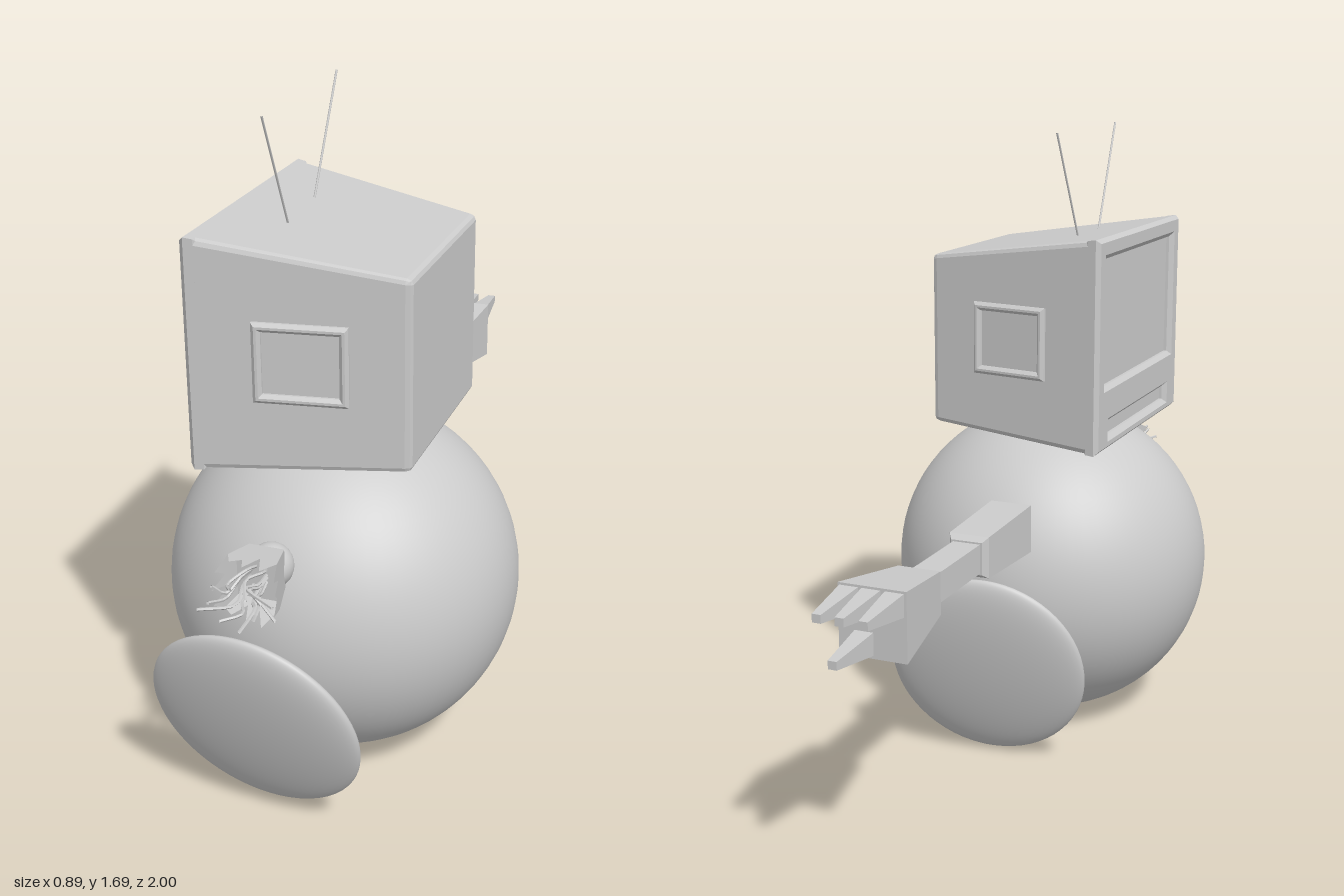
import * as THREE from 'three';
import { RoundedBoxGeometry } from 'three/addons/geometries/RoundedBoxGeometry.js';

const grey = new THREE.MeshStandardMaterial({ color: 0xcccccc });
const thin = new THREE.MeshStandardMaterial({ color: 0xcccccc, flatShading: true, side: THREE.DoubleSide });
const lerp = THREE.MathUtils.lerp;
const V = (x, y, z) => new THREE.Vector3(x, y, z);

function add(parent, name, geometry, x = 0, y = 0, z = 0, material = grey) {
  const mesh = new THREE.Mesh(geometry, material);
  mesh.name = name;
  mesh.position.set(x, y, z);
  parent.add(mesh);
  return mesh;
}

// Moves every vertex by a rule, then rebuilds the normals
function warp(geometry, rule) {
  const p = geometry.attributes.position, v = new THREE.Vector3();
  for (let i = 0; i < p.count; i++) {
    rule(v.fromBufferAttribute(p, i));
    p.setXYZ(i, v.x, v.y, v.z);
  }
  geometry.computeVertexNormals();
  return geometry;
}

// Box along z whose cross-section goes from w0 x h0 at z0 to w1 x h1 at z1
function taperBox(z0, w0, h0, z1, w1, h1) {
  return warp(new THREE.BoxGeometry(1, 1, Math.abs(z1 - z0)), (v) => {
    let t = v.z > 0 ? 1 : 0;
    if (z1 < z0) t = 1 - t;
    v.set(v.x * lerp(w0, w1, t), v.y * lerp(h0, h1, t), lerp(z0, z1, t));
  });
}

function rect(Type, x0, y0, x1, y1) {
  const s = new Type();
  s.moveTo(x0, y0).lineTo(x1, y0).lineTo(x1, y1).lineTo(x0, y1).closePath();
  return s;
}

function bevelled(shape, depth, bevel) {
  return new THREE.ExtrudeGeometry(shape, {
    depth, bevelEnabled: true, bevelSegments: 1,
    bevelThickness: bevel, bevelSize: bevel, bevelOffset: -bevel,
  });
}

function createHead() {
  const head = new THREE.Group();
  head.name = 'head';
  const H = 0.573, D = 0.691;
  // The casing narrows from the screen side (-x) to the rear (+x)
  const narrow = (v) => {
    const t = (v.x + 0.26) / 0.52;
    v.y = lerp(1.1385, 1.1185, t) + v.y * lerp(1, 0.467 / H, t);
    v.z = lerp(0.3575, 0.3625, t) + v.z * lerp(1, 0.515 / D, t);
  };
  const casing = new RoundedBoxGeometry(0.5, H, D, 1, 0.015).translate(0.01, 0, 0);
  add(head, 'casing', warp(casing, narrow));

  // Face plate with openings for the screen and the slot
  const plate = rect(THREE.Shape, -D / 2, -H / 2, D / 2, H / 2);
  plate.holes.push(rect(THREE.Path, -0.285, -0.11, 0.285, 0.23));
  plate.holes.push(rect(THREE.Path, -0.25, -0.25, 0.25, -0.21));
  const face = bevelled(plate, 0.023, 0.012).rotateY(-Math.PI / 2).translate(-0.225, 0, 0);
  add(head, 'facePlate', warp(face, narrow));

  // Raised frames on both sides
  for (const [z, turn] of [[0.66, 0.16], [0.06, Math.PI - 0.177]]) {
    const s = rect(THREE.Shape, -0.112, -0.098, 0.112, 0.098);
    s.holes.push(rect(THREE.Path, -0.09, -0.076, 0.09, 0.076));
    const frame = add(head, 'sideFrame', bevelled(s, 0.012, 0.008), 0.01, 1.137, z);
    frame.geometry.translate(0, 0, -0.006);
    frame.rotation.y = turn;
  }

  // Antennae
  const rods = [[V(-0.095, 1.38, 0.45), V(-0.083, 1.69, 0.62)], [V(-0.108, 1.38, 0.27), V(-0.1, 1.685, 0.115)]];
  for (const [a, b] of rods) {
    add(head, 'antenna', new THREE.TubeGeometry(new THREE.LineCurve3(a, b), 1, 0.003, 6));
  }
  return head;
}

function createArm() {
  const arm = new THREE.Group();
  arm.name = 'arm';
  arm.position.set(-0.048, 0.66, 0);
  add(arm, 'shoulder', new THREE.SphereGeometry(0.055, 24, 16), 0, 0, -0.08);
  add(arm, 'upperArm', taperBox(-0.065, 0.115, 0.13, -0.335, 0.108, 0.108));
  add(arm, 'elbow', taperBox(-0.335, 0.108, 0.108, -0.352, 0.085, 0.085));
  add(arm, 'forearm', taperBox(-0.34, 0.074, 0.076, -0.61, 0.074, 0.076));
  add(arm, 'wrist', taperBox(-0.595, 0.076, 0.078, -0.618, 0.11, 0.108));
  add(arm, 'hand', taperBox(-0.618, 0.11, 0.108, -0.855, 0.172, 0.17));
  // Three fingers above and a thumb below
  for (const [x, y] of [[-0.056, 0.052], [0.002, 0.052], [0.058, 0.052], [0.022, -0.05]]) {
    add(arm, y > 0 ? 'finger' : 'thumb', taperBox(0, 0.048, 0.056, -0.15, 0.022, 0.02), x, y, -0.85);
  }
  return arm;
}

function createBrokenArm() {
  const stub = new THREE.Group();
  stub.name = 'brokenArm';
  stub.position.set(-0.033, 0.68, 0);
  add(stub, 'shoulder', new THREE.SphereGeometry(0.055, 24, 16), 0, -0.01, 0.765);
  add(stub, 'stubBase', taperBox(0.785, 0.085, 0.1, 0.835, 0.108, 0.116));
  // Square sleeve with a torn rim
  const tear = [0.14, 0.09, 0.12, 0.075, 0.13, 0.1, 0.145, 0.08];
  const sleeve = new THREE.CylinderGeometry(1, 1, 1, 24, 1, true);
  warp(sleeve, (v) => {
    const end = v.y > 0;
    const i = Math.round((Math.atan2(v.x, v.z) / (2 * Math.PI) + 1) * 24) % 24;
    const length = end ? tear[(i * 3) % 8] : 0;
    const k = 1 / Math.max(Math.abs(v.x), Math.abs(v.z));
    v.set(v.x * k * (0.043 + length * 0.22), v.z * k * (0.05 + length * 0.16), 0.785 + length);
  });
  add(stub, 'tornSleeve', sleeve, 0, 0, 0, thin);
  // Loose wires bending out of the sleeve
  for (let i = 0; i < 11; i++) {
    const a = i * 2.4, r = 0.02 + 0.01 * (i % 4);
    const c = Math.cos(a), s = Math.sin(a), reach = 0.05 + 0.022 * (i % 3);
    const path = new THREE.CatmullRomCurve3([
      V(c * 0.02, s * 0.02, 0.82), V(c * r, s * r, 0.88),
      V(c * r - s * 0.025, s * r * 0.8 + c * 0.02, 0.93),
      V(c * reach * 1.1, s * reach * 0.7, 0.95 + 0.012 * (i % 5)),
    ]);
    add(stub, 'wire', new THREE.TubeGeometry(path, 10, 0.004, 5), 0, 0, 0, thin);
  }
  return stub;
}

export function createModel() {
  const model = new THREE.Group();
  model.name = 'robot';
  add(model, 'body', new THREE.SphereGeometry(0.447, 64, 40), 0, 0.452, 0.362);
  model.add(createHead(), createArm(), createBrokenArm());

  // Disc feet, each on a small ankle ball
  const feet = [
    { x: -0.05, y: 0.295, z: 0.85, tilt: 0.276, turn: -0.09, ankle: 0.79 },
    { x: 0, y: 0.275, z: -0.118, tilt: -0.25, turn: 0.1, ankle: -0.065 },
  ];
  for (const f of feet) {
    const foot = add(model, 'foot', new THREE.SphereGeometry(0.273, 48, 32), f.x, f.y, f.z);
    foot.scale.z = 0.17;
    foot.rotation.set(f.tilt, f.turn, 0);
    add(model, 'ankle', new THREE.SphereGeometry(0.042, 20, 14), f.x, f.y + 0.01, f.ankle);
  }
  return model;
}
